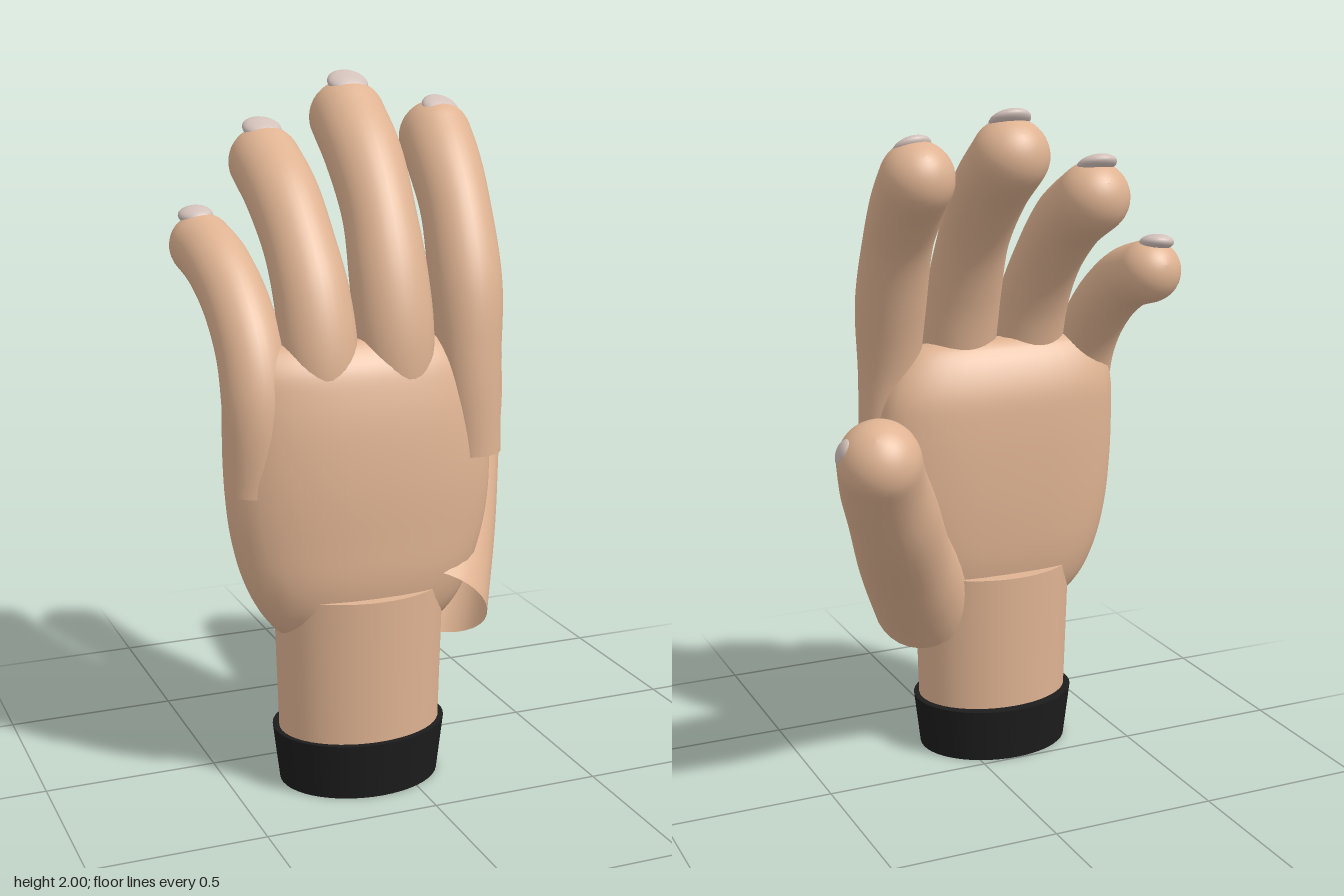
import * as THREE from 'three';

const V = (x, y, z) => new THREE.Vector3(x, y, z);
const SIDES = 32;

// Skin a list of closed rings (arrays of SIDES points) with smooth normals
function loft(rings) {
  const pos = [], idx = [];
  rings.forEach((r) => r.forEach((p) => pos.push(p.x, p.y, p.z)));
  for (let i = 0; i < rings.length - 1; i++) {
    for (let j = 0; j < SIDES; j++) {
      const k = (j + 1) % SIDES;
      const a = i * SIDES + j, b = i * SIDES + k, c = a + SIDES, d = b + SIDES;
      idx.push(a, b, d, a, d, c);
    }
  }
  const g = new THREE.BufferGeometry();
  g.setAttribute('position', new THREE.Float32BufferAttribute(pos, 3));
  g.setIndex(idx);
  g.computeVertexNormals();
  return g;
}

// Round-tipped, open-based digit; each point is [x, y, z, radiusA, radiusB]
function digit(points, side) {
  const path = new THREE.CatmullRomCurve3(points.map((p) => V(p[0], p[1], p[2])));
  const radii = new THREE.CatmullRomCurve3(points.map((p, i) => V(p[3], p[4], i)));
  const rings = [];
  const addRing = (c, T, ra, rb) => {
    const A = side.clone().addScaledVector(T, -side.dot(T)).normalize();
    const B = T.clone().cross(A);
    rings.push(Array.from({ length: SIDES }, (_, j) => {
      const t = (j / SIDES) * Math.PI * 2;
      return c.clone().addScaledVector(A, ra * Math.cos(t)).addScaledVector(B, rb * Math.sin(t));
    }));
  };
  const N = 36;
  for (let i = 0; i <= N; i++) {
    const r = radii.getPoint(i / N);
    addRing(path.getPoint(i / N), path.getTangent(i / N), r.x, r.y);
  }
  // hemispherical fingertip
  const end = path.getPoint(1), T = path.getTangent(1), r = radii.getPoint(1);
  for (let i = 1; i <= 10; i++) {
    const a = (i / 10) * Math.PI * 0.499;
    addRing(end.clone().addScaledVector(T, r.y * Math.sin(a)), T, r.x * Math.cos(a), r.y * Math.cos(a));
  }
  return loft(rings);
}

export function createModel() {
  const group = new THREE.Group();
  const skin = new THREE.MeshStandardMaterial({ color: 0xdfb392, side: THREE.DoubleSide });
  skin.name = 'skin';
  const nailMat = new THREE.MeshStandardMaterial({ color: 0xd2c0ba });
  nailMat.name = 'nail';
  const black = new THREE.MeshStandardMaterial({ color: 0x1c1c1c });
  black.name = 'cuffBlack';
  const add = (name, geo, mat) => {
    const m = new THREE.Mesh(geo, mat);
    m.name = name;
    group.add(m);
    return m;
  };

  // Cuff and wrist: tapered elliptical cylinders
  const cuff = add('cuff', new THREE.CylinderGeometry(0.255, 0.235, 0.165, 48), black);
  cuff.scale.z = 0.81;
  cuff.position.set(-0.115, 0.0825, 0.195);
  const wrist = add('wrist', new THREE.CylinderGeometry(0.25, 0.236, 0.485, 48), skin);
  wrist.scale.z = 0.76;
  wrist.position.set(-0.116, 0.3425, 0.202);

  // Palm: sections rounder on the back of the hand, flatter inside [y, xMin, xMax, zMin, zMax]
  const sections = [
    [0.43, -0.13, -0.11, 0.19, 0.21], [0.45, -0.33, 0.1, 0.12, 0.29], [0.52, -0.405, 0.175, 0.075, 0.34],
    [0.62, -0.455, 0.225, 0.05, 0.365], [0.75, -0.488, 0.265, 0.038, 0.37], [0.9, -0.503, 0.28, 0.033, 0.37],
    [1.05, -0.505, 0.268, 0.035, 0.358], [1.15, -0.5, 0.245, 0.045, 0.34], [1.23, -0.48, 0.2, 0.075, 0.315],
    [1.285, -0.43, 0.13, 0.115, 0.27], [1.3, -0.14, -0.12, 0.18, 0.2],
  ];
  const lowCurve = new THREE.CatmullRomCurve3(sections.map((s) => V(s[1], s[0], s[3])), false, 'centripetal');
  const highCurve = new THREE.CatmullRomCurve3(sections.map((s) => V(s[2], s[0], s[4])), false, 'centripetal');
  const bend = (v, e) => Math.sign(v) * Math.pow(Math.abs(v), e);
  const palmRings = Array.from({ length: 51 }, (_, i) => {
    const lo = lowCurve.getPoint(i / 50), hi = highCurve.getPoint(i / 50);
    const c = lo.clone().add(hi).multiplyScalar(0.5);
    return Array.from({ length: SIDES }, (_, j) => {
      const t = (j / SIDES) * Math.PI * 2;
      const e = j <= SIDES / 2 ? 0.76 : 0.91;
      return V(c.x + bend(Math.cos(t), e) * (hi.x - lo.x) / 2, c.y, c.z - bend(Math.sin(t), e) * (hi.z - lo.z) / 2);
    });
  });
  add('palm', loft(palmRings), skin);

  // Digits, curling towards the palm side
  const X = V(1, 0, 0);
  add('indexFinger', digit([
    [0.213, 0.95, 0.245, 0.084, 0.085], [0.206, 1.2, 0.236, 0.092, 0.09], [0.215, 1.42, 0.19, 0.104, 0.105],
    [0.224, 1.62, 0.1, 0.101, 0.1], [0.23, 1.74, 0.005, 0.106, 0.104], [0.235, 1.813, -0.075, 0.106, 0.107],
  ], X), skin);
  add('middleFinger', digit([
    [-0.01, 1.08, 0.23, 0.09, 0.085], [-0.014, 1.28, 0.22, 0.112, 0.102], [-0.015, 1.45, 0.18, 0.112, 0.104],
    [-0.012, 1.62, 0.1, 0.105, 0.1], [-0.01, 1.77, -0.02, 0.111, 0.105], [-0.01, 1.872, -0.15, 0.111, 0.107],
  ], X), skin);
  add('ringFinger', digit([
    [-0.232, 1.06, 0.23, 0.09, 0.085], [-0.237, 1.25, 0.217, 0.109, 0.1], [-0.24, 1.41, 0.172, 0.107, 0.1],
    [-0.246, 1.545, 0.09, 0.102, 0.097], [-0.253, 1.67, -0.03, 0.105, 0.102], [-0.254, 1.75, -0.175, 0.105, 0.103],
  ], X), skin);
  add('littleFinger', digit([
    [-0.434, 0.89, 0.215, 0.078, 0.082], [-0.424, 1.13, 0.22, 0.092, 0.088], [-0.422, 1.27, 0.175, 0.094, 0.09],
    [-0.432, 1.4, 0.08, 0.093, 0.09], [-0.448, 1.487, -0.03, 0.093, 0.092], [-0.457, 1.525, -0.143, 0.093, 0.092],
  ], X), skin);
  add('thumb', digit([
    [0.105, 0.5, 0.22, 0.178, 0.165], [0.165, 0.58, 0.145, 0.158, 0.152], [0.235, 0.69, 0.05, 0.147, 0.14],
    [0.332, 0.88, -0.11, 0.149, 0.13], [0.4, 1.005, -0.215, 0.132, 0.122], [0.436, 1.087, -0.284, 0.122, 0.117],
  ], V(-0.25, 0.62, 0.72)), skin);

  // Nails: flattened domes [name, position, normal, lengthwise direction, half width, half length]
  const nails = [
    ['indexNail', V(0.242, 1.898, -0.056), V(0.12, 0.82, 0.56), V(0, 0.6, -0.8), 0.057, 0.054],
    ['middleNail', V(-0.01, 1.97, -0.147), V(0, 0.87, 0.48), V(0, 0.48, -0.87), 0.06, 0.058],
    ['ringNail', V(-0.258, 1.845, -0.187), V(0, 0.92, 0.38), V(0, 0.38, -0.92), 0.057, 0.057],
    ['littleNail', V(-0.468, 1.61, -0.163), V(-0.08, 0.97, 0.2), V(0, 0.2, -0.97), 0.05, 0.05],
    ['thumbNail', V(0.529, 1.121, -0.27), V(0.93, 0.3, 0.22), V(0.1, 0.75, -0.65), 0.037, 0.048],
  ];
  for (const [name, p, n, along, w, l] of nails) {
    const y = n.normalize();
    const x = y.clone().cross(along).normalize();
    const nail = add(name, new THREE.SphereGeometry(1, 24, 16), nailMat);
    nail.quaternion.setFromRotationMatrix(new THREE.Matrix4().makeBasis(x, y, x.clone().cross(y)));
    nail.position.copy(p);
    nail.scale.set(w, 0.024, l);
  }
  return group;
}
